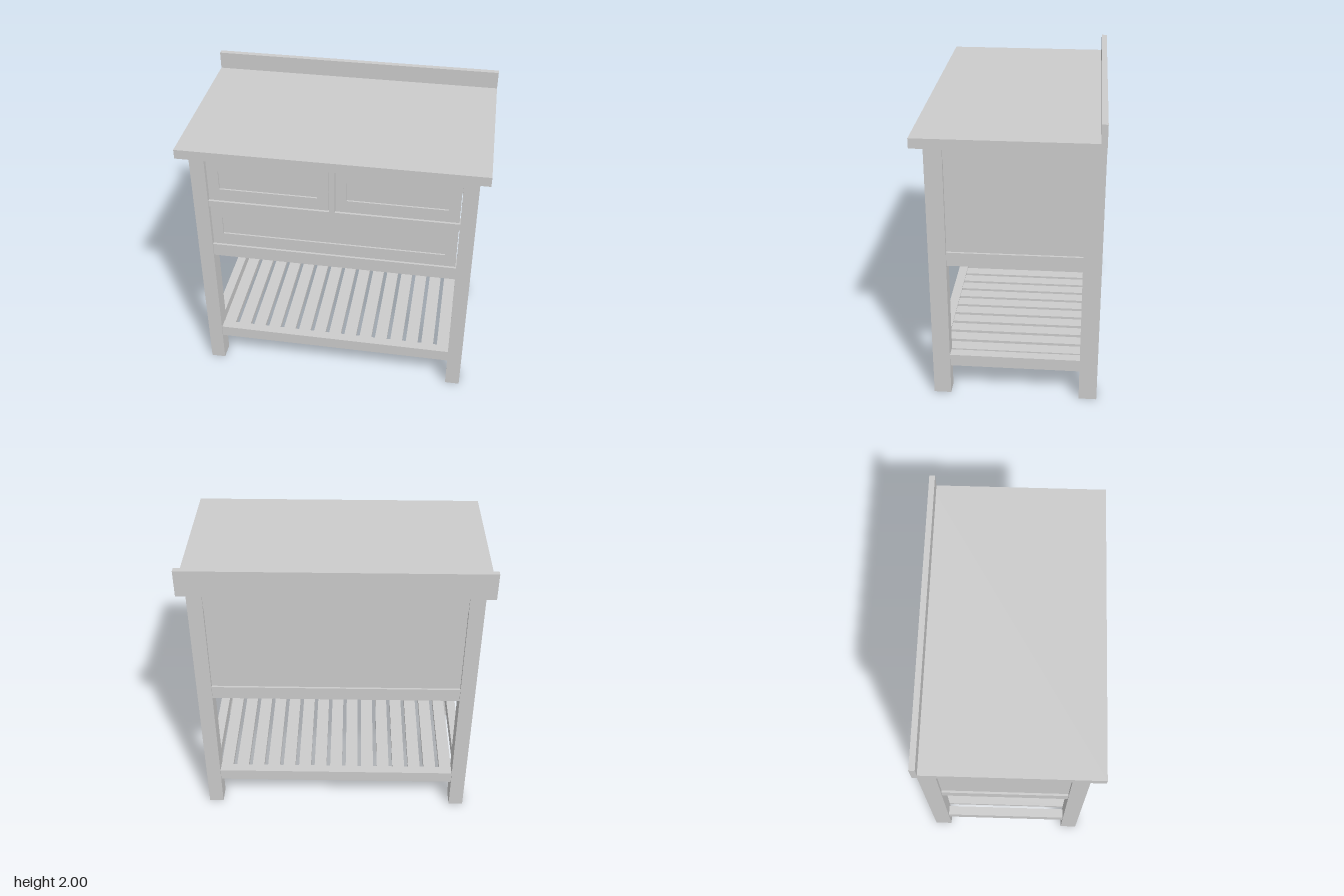
import * as THREE from 'three';

const material = new THREE.MeshStandardMaterial({ color: 0xcccccc, flatShading: true });

export function createModel() {
  const model = new THREE.Group();
  model.name = 'kitchenWorkTable';

  // Box given by its extents on each axis
  function box(name, [x0, x1], [y0, y1], [z0, z1]) {
    const mesh = new THREE.Mesh(new THREE.BoxGeometry(x1 - x0, y1 - y0, z1 - z0), material);
    mesh.position.set((x0 + x1) / 2, (y0 + y1) / 2, (z0 + z1) / 2);
    mesh.name = name;
    model.add(mesh);
  }

  const legIn = 0.835, legOut = 0.935;
  const front = [0.40, 0.515], back = [-0.59, -0.47];
  const span = [-legIn, legIn], depth = [back[1], front[0]];
  const mirror = (s, a, b) => (s > 0 ? [a, b] : [-b, -a]);

  // Worktop and splashback
  box('worktop', [-1, 1], [1.815, 1.88], [-0.59, 0.59]);
  box('splashback', [-1, 1], [1.88, 2], [-0.59, -0.552]);

  // Legs, side panels and side rails
  for (const s of [-1, 1]) {
    const side = s > 0 ? 'left' : 'right';
    box(side + 'FrontLeg', mirror(s, legIn, legOut), [0, 1.815], front);
    box(side + 'BackLeg', mirror(s, legIn, legOut), [0, 1.815], back);
    box(side + 'TopRail', mirror(s, 0.86, 0.925), [1.72, 1.815], depth);
    box(side + 'Panel', mirror(s, 0.88, 0.91), [1.08, 1.72], depth);
    box(side + 'BottomRail', mirror(s, 0.86, 0.925), [0.985, 1.08], depth);
    box(side + 'ShelfRail', mirror(s, 0.86, 0.925), [0.215, 0.3], depth);
  }

  // Back panel between its rails
  box('backTopRail', span, [1.72, 1.815], [-0.58, -0.515]);
  box('backPanel', span, [1.08, 1.72], [-0.565, -0.535]);
  box('backBottomRail', span, [0.985, 1.08], [-0.58, -0.515]);

  // Front face frame
  const frameZ = [0.43, 0.505];
  box('frontTopRail', span, [1.77, 1.815], frameZ);
  box('frontMiddleRail', span, [1.40, 1.445], frameZ);
  box('frontBottomRail', span, [0.985, 1.08], frameZ);
  box('frontStile', [-0.02, 0.018], [1.445, 1.77], frameZ);

  // Drawer fronts: a frame cut out around a sunken panel
  function drawerFront(name, [x0, x1], [y0, y1], [px0, px1], [py0, py1]) {
    const rect = (target, a, b, c, d) =>
      target.moveTo(a, c).lineTo(b, c).lineTo(b, d).lineTo(a, d).closePath();
    const shape = new THREE.Shape();
    rect(shape, x0, x1, y0, y1);
    const hole = new THREE.Path();
    rect(hole, px0, px1, py0, py1);
    shape.holes.push(hole);
    const frame = new THREE.Mesh(
      new THREE.ExtrudeGeometry(shape, { depth: 0.035, bevelEnabled: false }), material);
    frame.position.z = 0.46;
    frame.name = name + 'Frame';
    model.add(frame);
    box(name + 'Panel', [px0, px1], [py0, py1], [0.46, 0.483]);
  }
  const gap = 0.005;
  drawerFront('rightDrawer', [-legIn + gap, -0.02 - gap], [1.45, 1.765], [-0.755, -0.1], [1.54, 1.68]);
  drawerFront('leftDrawer', [0.018 + gap, legIn - gap], [1.45, 1.765], [0.095, 0.755], [1.54, 1.68]);
  drawerFront('wideDrawer', [-legIn + gap, legIn - gap], [1.085, 1.395], [-0.755, 0.755], [1.175, 1.31]);

  // Slatted lower shelf
  box('shelfFrontRail', span, [0.215, 0.3], [0.44, 0.505]);
  box('shelfBackRail', span, [0.215, 0.3], [-0.58, -0.515]);
  const slats = 15, pitch = 1.7 / slats;
  for (let i = 0; i < slats; i++) {
    const x = (i - (slats - 1) / 2) * pitch;
    box('shelfSlat', [x - 0.043, x + 0.043], [0.26, 0.293], [-0.515, 0.44]);
  }
  return model;
}
